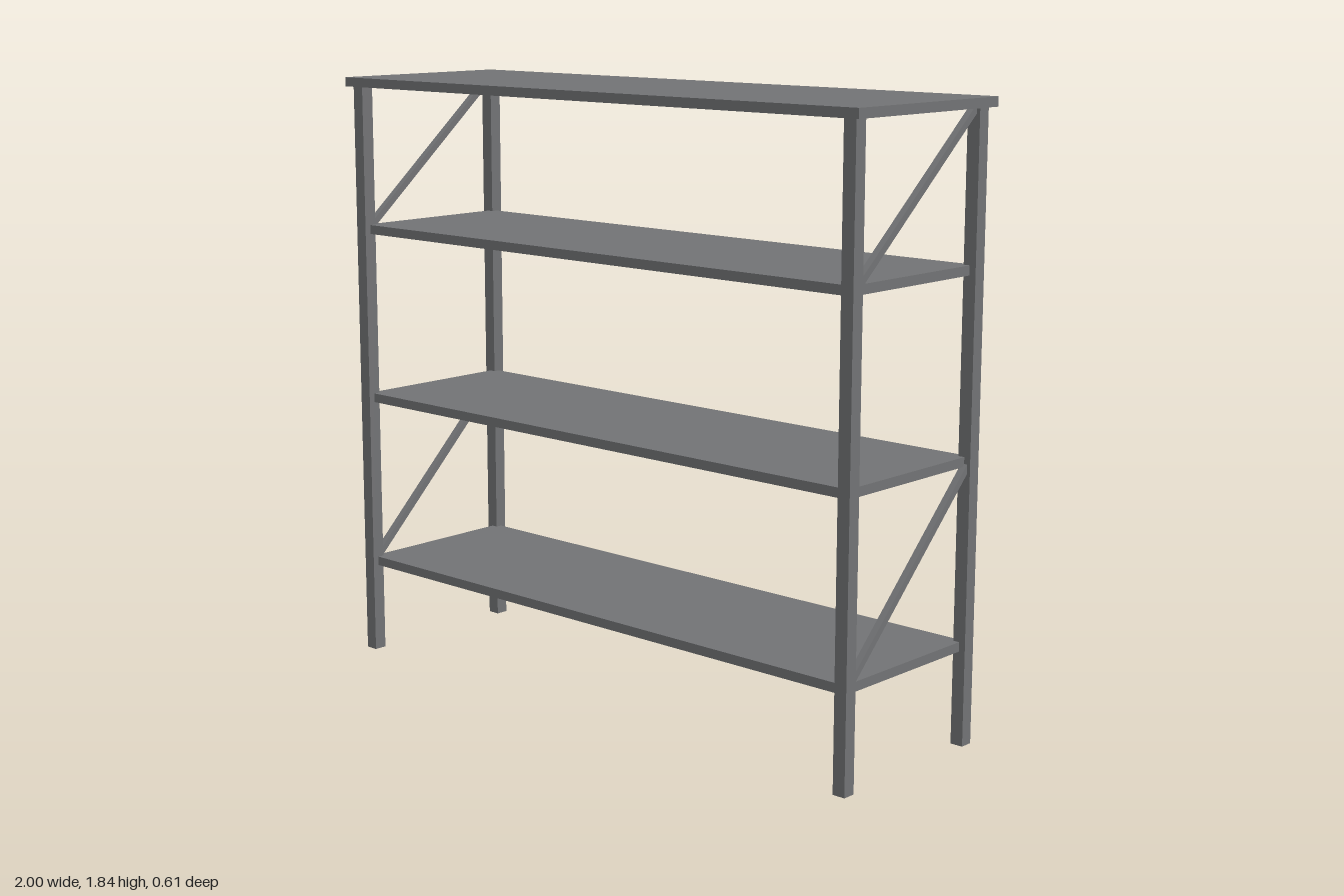
import * as THREE from 'three';

export function createModel() {
  const group = new THREE.Group();
  const material = new THREE.MeshStandardMaterial({ color: 0x737476 });

  function box(name, size, position) {
    const mesh = new THREE.Mesh(new THREE.BoxGeometry(...size), material);
    mesh.name = name;
    mesh.position.set(...position);
    group.add(mesh);
    return mesh;
  }

  const postX = 0.96, postZ = 0.271, postWidth = 0.04;
  const topHeight = 1.837, thickness = 0.028;
  const topY = topHeight - thickness / 2;
  const shelfY = [0.292, 0.828, 1.365];

  // Overhanging top board
  box('topBoard', [2, thickness, 0.614], [0, topY, 0]);

  // Shelves spanning between the post centres
  for (const y of shelfY) box('shelf', [2 * postX, thickness, 2 * postZ], [0, y, 0]);

  // Diagonal brace, low at the front post and high at the back post
  function brace(x, lowY, highY) {
    const rise = highY - lowY, run = 2 * postZ;
    const mesh = box('diagonalBrace', [0.02, 0.02, Math.hypot(rise, run)], [x, (lowY + highY) / 2, 0]);
    mesh.rotation.x = Math.atan2(rise, run);
  }

  // Side frames: two posts and two braces each
  const postHeight = topHeight - thickness;
  for (const side of [-1, 1]) {
    for (const end of [-1, 1]) {
      box(end > 0 ? 'frontPost' : 'backPost', [postWidth, postHeight, postWidth],
        [side * postX, postHeight / 2, end * postZ]);
    }
    brace(side * postX, shelfY[0], shelfY[1]);
    brace(side * postX, shelfY[2] - 0.005, topY);
  }

  return group;
}
